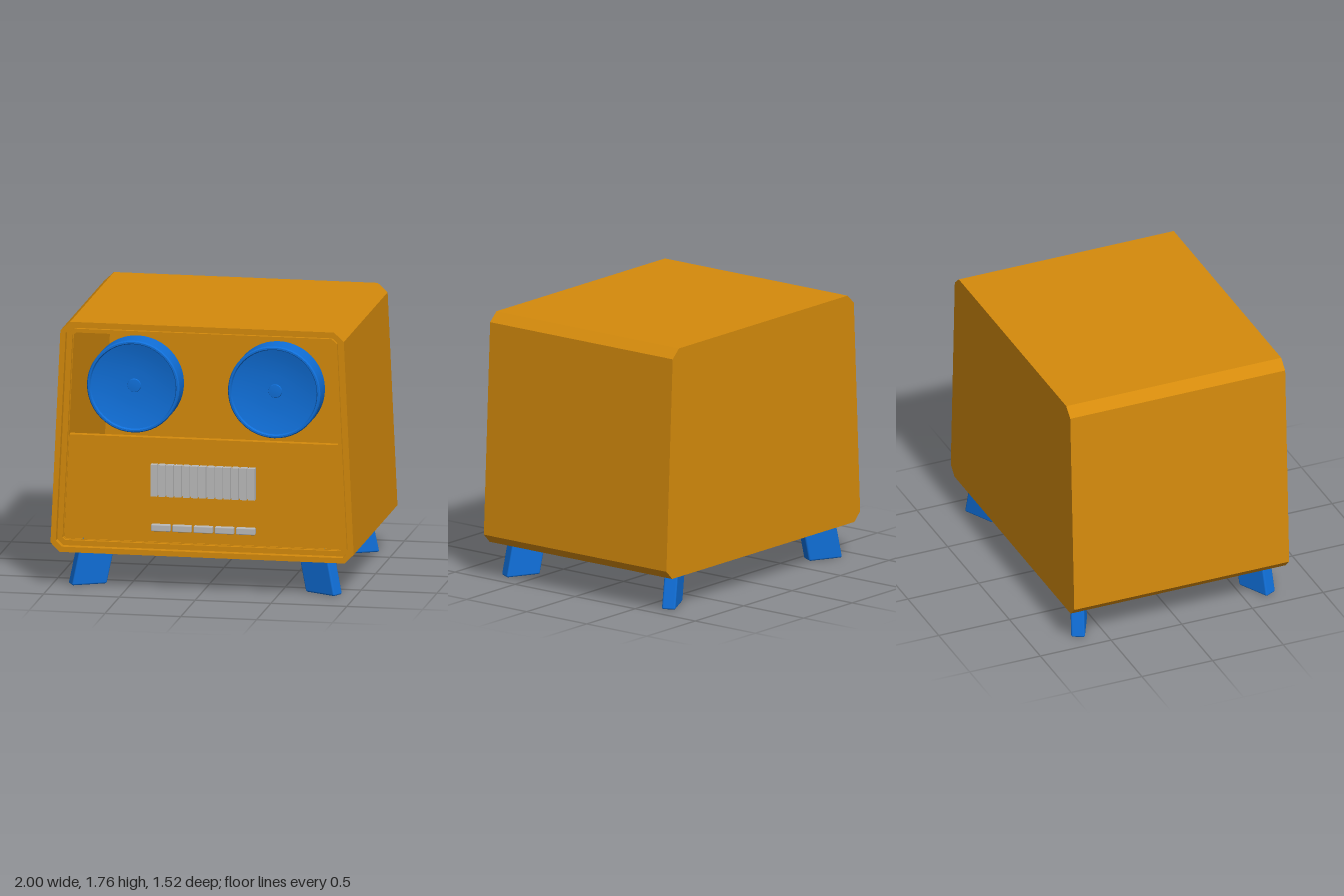
import * as THREE from 'three';
import { toCreasedNormals } from 'three/addons/utils/BufferGeometryUtils.js';
import { RoundedBoxGeometry } from 'three/addons/geometries/RoundedBoxGeometry.js';

const material = (name, color) => {
  const m = new THREE.MeshStandardMaterial({ color });
  m.name = name;
  return m;
};

// Tapered cabinet outline with chamfered corners, inset by d
function outline(d) {
  const t = d * 0.414;
  const right = [
    [0.94 - t, 0.23 + d], [1 - d, 0.29 + t],
    [0.935 - d, 1.7 - t], [0.87 - t, 1.76 - d],
  ];
  const left = right.map(([x, y]) => [-x, y]).reverse();
  return [...right, ...left].map(([x, y]) => new THREE.Vector2(x, y));
}

// Extrude a set of points, optionally with a hole, between two depths
function slab(points, hole, z0, z1) {
  const shape = new THREE.Shape(points);
  if (hole) shape.holes.push(new THREE.Path(hole));
  return new THREE.ExtrudeGeometry(shape, { depth: z1 - z0, bevelEnabled: false }).translate(0, 0, z0);
}

export function createModel() {
  const orange = material('orange', 0xd48a0c);
  const blue = material('blue', 0x106fd8);
  const grey = material('grey', 0xbababa);
  const model = new THREE.Group();
  model.name = 'robotHead';

  function add(name, geometry, mat, parent = model) {
    const mesh = new THREE.Mesh(geometry, mat);
    mesh.name = name;
    parent.add(mesh);
    return mesh;
  }

  // Cabinet: solid back, hollow body, front lip and inner trim
  add('back', slab(outline(0), null, -0.76, -0.61), orange);
  add('shell', slab(outline(0), outline(0.08), -0.61, 0.71), orange);
  add('frontLip', slab(outline(0), outline(0.035), 0.71, 0.76), orange);
  add('innerTrim', slab(outline(0.05), outline(0.075), 0.71, 0.735), orange);

  // Lower front panel, open above
  const o = outline(0.08);
  const panel = [o[0], o[1], new THREE.Vector2(0.887, 1), new THREE.Vector2(-0.887, 1), o[6], o[7]];
  add('frontPanel', slab(panel, null, 0.65, 0.7), orange);

  // Drum eyes with a dished face and central boss
  const profile = [
    [0, 0.53], [0.29, 0.53], [0.305, 0.545], [0.305, 0.705], [0.298, 0.715], [0.287, 0.715], [0.28, 0.7],
    [0.24, 0.69], [0.17, 0.677], [0.1, 0.67], [0.045, 0.668], [0.042, 0.676], [0, 0.68],
  ].map(([r, y]) => new THREE.Vector2(r, y));
  const eye = toCreasedNormals(new THREE.LatheGeometry(profile, 48).rotateX(Math.PI / 2), 0.45);
  for (const s of [-1, 1]) {
    add(s > 0 ? 'leftEye' : 'rightEye', eye, blue).position.set(s * 0.465, 1.335, 0);
  }

  // Mouth grille: upright slats on a backing plate
  const grille = new THREE.Group();
  grille.name = 'grille';
  model.add(grille);
  add('grilleBacking', new THREE.BoxGeometry(0.68, 0.2, 0.03), grey, grille).position.set(0, 0.725, 0.71);
  const slat = new THREE.BoxGeometry(0.043, 0.21, 0.06);
  for (let i = 0; i < 13; i++) {
    add('slat', slat, grey, grille).position.set((i - 6) * 0.0537, 0.725, 0.72);
  }

  // Row of buttons
  const button = new RoundedBoxGeometry(0.126, 0.045, 0.05, 1, 0.006);
  for (let i = 0; i < 5; i++) {
    add('button', button, grey).position.set((i - 2) * 0.14, 0.408, 0.71);
  }

  // Splayed legs, turned toward the corners
  for (const sx of [-1, 1]) {
    for (const sz of [-1, 1]) {
      const leg = new RoundedBoxGeometry(0.235, 0.33, 0.09, 2, 0.012);
      leg.rotateY(-sx * sz * 0.47).translate(0, 0.165, 0);
      const shear = new THREE.Matrix4().set(
        1, -0.2 * sx, 0, 0.78 * sx,
        0, 1, 0, 0,
        0, -0.06 * sz, 1, 0.63 * sz,
        0, 0, 0, 1);
      leg.applyMatrix4(shear);
      add((sz > 0 ? 'front' : 'back') + (sx > 0 ? 'Left' : 'Right') + 'Leg', leg, blue);
    }
  }
  return model;
}
